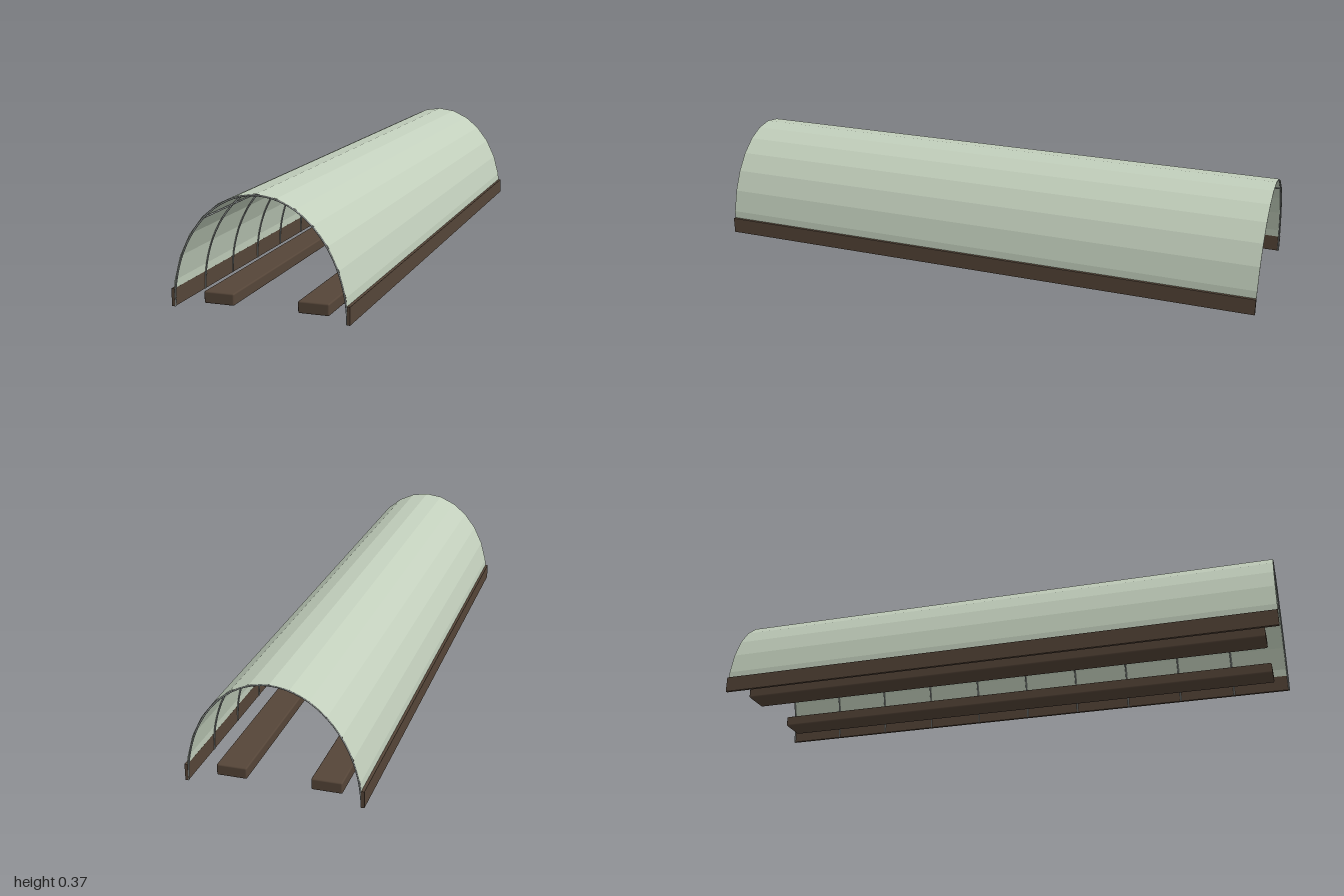
import * as THREE from 'three';
import { RoundedBoxGeometry } from 'three/addons/geometries/RoundedBoxGeometry.js';

const LENGTH = 2, SEGMENTS = 14, HOOPS = 11, TUBE = 0.0028;

// Point on a half ellipse; angle runs from -90 to 90 degrees with 0 at the ridge
const arch = (angle, rx, ry) => new THREE.Vector2(Math.sin(angle) * rx, Math.cos(angle) * ry);

class HoopCurve extends THREE.Curve {
  getPoint(t, target = new THREE.Vector3()) {
    const p = arch((t - 0.5) * Math.PI, 0.278, 0.363);
    return target.set(p.x, p.y, 0);
  }
}

export function createModel() {
  const model = new THREE.Group();
  model.name = 'tunnelGreenhouse';

  const coverMat = new THREE.MeshStandardMaterial({ color: 0xc2cfbc, side: THREE.DoubleSide, flatShading: true });
  coverMat.name = 'pale green film';
  const metal = new THREE.MeshStandardMaterial({ color: 0x8f9492 });
  metal.name = 'grey metal';
  const wood = new THREE.MeshStandardMaterial({ color: 0x554538 });
  wood.name = 'dark brown wood';

  const add = (name, geometry, material, x = 0, y = 0, z = 0) => {
    const mesh = new THREE.Mesh(geometry, material);
    mesh.name = name;
    mesh.position.set(x, y, z);
    model.add(mesh);
    return mesh;
  };

  // Faceted arched cover: a plane bent over the half ellipse
  const cover = new THREE.PlaneGeometry(1, LENGTH, SEGMENTS, 1).rotateX(-Math.PI / 2);
  const pos = cover.attributes.position;
  for (let i = 0; i < pos.count; i++) {
    const p = arch(pos.getX(i) * Math.PI, 0.283, 0.368);
    pos.setXY(i, p.x, Math.max(0, p.y));
  }
  cover.computeVertexNormals();
  add('cover', cover, coverMat);

  // Evenly spaced hoops
  const hoop = new THREE.TubeGeometry(new HoopCurve(), 40, TUBE, 8);
  const span = LENGTH - 2 * TUBE;
  for (let i = 0; i < HOOPS; i++) {
    add('hoop', hoop, metal, 0, 0, -span / 2 + (span * i) / (HOOPS - 1));
  }

  // Ridge and side rails along the length
  const rail = new THREE.CylinderGeometry(TUBE, TUBE, LENGTH, 8).rotateX(Math.PI / 2);
  for (const k of [-3, 0, 3]) {
    const p = arch((k * Math.PI) / SEGMENTS, 0.278, 0.363);
    add(k ? 'sideRail' : 'ridgeRail', rail, metal, p.x, p.y);
  }

  // Baseboards and planting beds on both sides
  const board = new THREE.BoxGeometry(0.01, 0.056, LENGTH);
  const bed = new RoundedBoxGeometry(0.1, 0.038, 1.9, 2, 0.005);
  for (const s of [-1, 1]) {
    add('baseboard', board, wood, s * 0.283, 0.028);
    add('plantingBed', bed, wood, s * 0.1545, 0.022);
  }
  return model;
}
